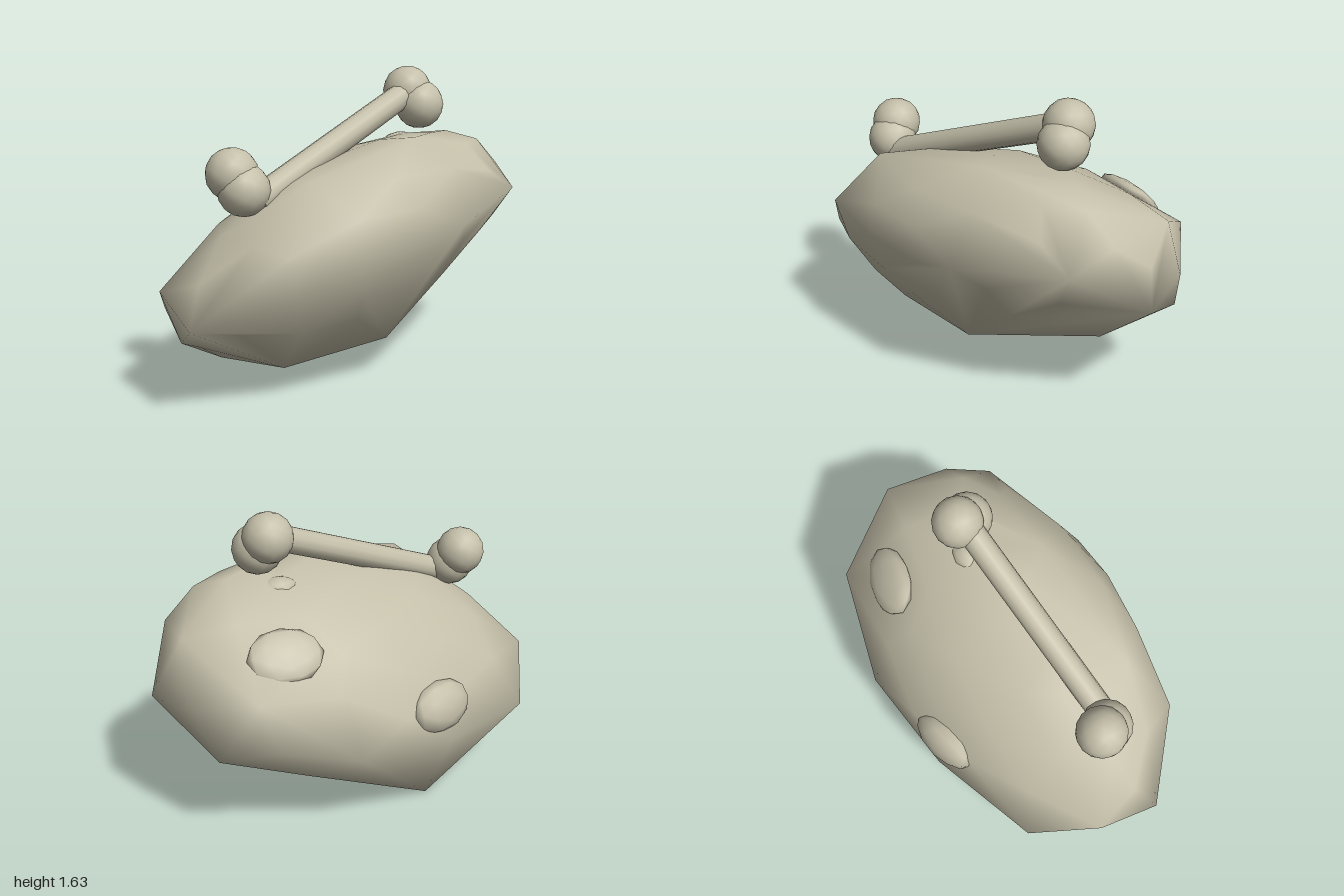
import * as THREE from 'three';
import { mergeVertices } from 'three/addons/utils/BufferGeometryUtils.js';
import { ConvexGeometry } from 'three/addons/geometries/ConvexGeometry.js';

const stone = new THREE.MeshStandardMaterial({ color: 0xc4bfa9 });
stone.name = 'paleStone';

const v = (x, y, z) => new THREE.Vector3(x, y, z);

// Tilted ellipsoid that carries the boulder: unit sphere -> leaning, flattened rock
const CENTRE = v(0, 0.7, 0.01);
const LEAN = new THREE.Matrix3().set(
  1, 0, 0,
  0.25, 0.572, 0,
  -0.4, 0.175, 0.753
);

// Outer corners of the rough boulder
const CORNERS = [
  [-1, 0.6, 0.49], [-0.98, 0.39, 0.1], [-0.9, 0.29, 0.4], [-0.38, 0.165, 0.5],
  [-0.44, 0, -0.23], [-0.56, 0.08, -0.13], [-0.68, 0.13, 0], [0.2, 0.215, 0.25],
  [0.54, 0.31, -0.4], [0.62, 0.5, -0.78], [1, 0.72, -0.49],
  [0.98, 0.96, -0.07], [0.94, 1.07, -0.31], [0.8, 1.22, -0.21], [0.62, 1.27, -0.22],
  [0.35, 1.3, 0.2], [-0.25, 1.16, 0.62], [-0.4, 1.09, 0.28], [-0.39, 0.84, 0.87],
  [-0.86, 0.48, 0.81], [0.58, 0.87, 0.42], [0.75, 0.76, -0.74], [0.4, 0.87, -0.88],
  [-0.1, 0.5, -0.75], [-0.57, 0.43, -0.39], [0.8, 1.11, -0.63],
];

function smooth(geometry) {
  geometry.deleteAttribute('normal');
  geometry.deleteAttribute('uv');
  const merged = mergeVertices(geometry, 1e-4);
  merged.computeVertexNormals();
  return merged;
}

function add(parent, name, geometry) {
  const mesh = new THREE.Mesh(geometry, stone);
  mesh.name = name;
  parent.add(mesh);
  return mesh;
}

// Boulder: hull around the corners and a slightly smaller ellipsoid core
function boulderGeometry() {
  const points = CORNERS.map((c) => v(...c));
  const core = new THREE.IcosahedronGeometry(0.945, 2).attributes.position;
  for (let i = 0; i < core.count; i++) {
    points.push(new THREE.Vector3().fromBufferAttribute(core, i).applyMatrix3(LEAN).add(CENTRE));
  }
  return smooth(new ConvexGeometry(points));
}

// Outward direction of the ellipsoid at a point
function outward(point) {
  const inverse = LEAN.clone().invert();
  return point.clone().sub(CENTRE).applyMatrix3(inverse)
    .applyMatrix3(inverse.clone().transpose()).normalize();
}

export function createModel() {
  const model = new THREE.Group();
  model.name = 'boulderWithBone';

  add(model, 'boulder', boulderGeometry());

  // Flat lumps on the boulder: position, half width, half height, thickness
  const lumps = [
    [v(-0.5, 0.61, -0.35), 0.2, 0.14, 0.085],
    [v(0.29, 1.02, -0.62), 0.2, 0.15, 0.05],
    [v(0.35, 1.22, -0.21), 0.1, 0.07, 0.05],
  ];
  for (const [position, w, h, d] of lumps) {
    const lump = add(model, 'lump', smooth(new THREE.IcosahedronGeometry(1, 1)));
    lump.position.copy(position);
    lump.scale.set(w, h, d);
    lump.lookAt(position.clone().add(outward(position)));
  }

  // Bone: straight shaft, half sunk at its lower end, with a pair of knobs at each end
  const bone = new THREE.Group();
  bone.name = 'bone';
  model.add(bone);
  const start = v(-0.51, 1.05, 0.503);
  const end = v(0.42, 1.51, -0.22);
  const axis = end.clone().sub(start);
  const shaft = add(bone, 'shaft', new THREE.CylinderGeometry(0.071, 0.071, axis.length(), 12));
  shaft.position.copy(start).add(end).multiplyScalar(0.5);
  shaft.quaternion.setFromUnitVectors(v(0, 1, 0), axis.normalize());

  const knobs = [
    v(-0.625, 1.18, 0.465), v(-0.57, 1.105, 0.5),
    v(0.4, 1.5, -0.235), v(0.46, 1.425, -0.19),
  ];
  for (const position of knobs) {
    add(bone, 'knob', smooth(new THREE.IcosahedronGeometry(0.135, 2))).position.copy(position);
  }
  return model;
}
